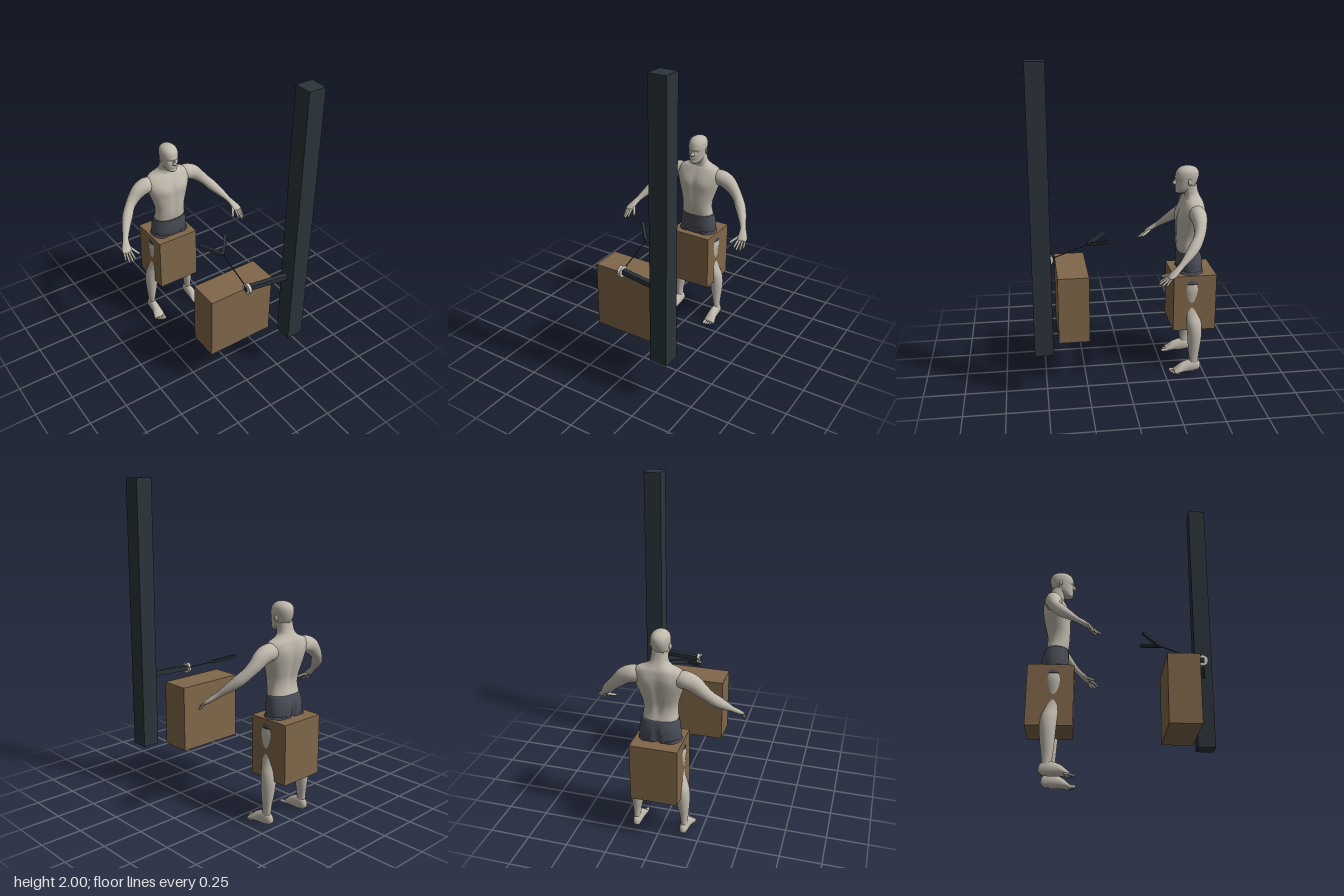
import * as THREE from 'three';

const V = (x, y, z) => new THREE.Vector3(x, y, z);
const mat = (name, color) => new THREE.MeshStandardMaterial({ name, color });
const bump = (d, w) => Math.exp(-(d * d) / (w * w));

// Catmull-Rom through rows of numbers, n steps per span
function smooth(rows, n) {
  const out = [], at = i => rows[Math.min(rows.length - 1, Math.max(0, i))];
  for (let i = 0; i < rows.length - 1; i++) {
    for (let k = 0; k < n; k++) {
      const t = k / n;
      out.push(rows[i].map((b, c) => {
        const a = at(i - 1)[c], d = at(i + 1)[c], e = at(i + 2)[c];
        return b + 0.5 * t * (d - a + t * (2 * a - 5 * b + 4 * d - e + t * (3 * (b - d) + e - a)));
      }));
    }
  }
  out.push(rows[rows.length - 1]);
  return out;
}

// Closed smooth skin over a list of rings
function skinOver(rings) {
  const n = rings[0].length, pos = [], idx = [];
  rings.forEach(r => r.forEach(p => pos.push(p.x, p.y, p.z)));
  const ends = [rings[0], rings[rings.length - 1]];
  ends.forEach(r => {
    const c = r.reduce((s, p) => s.add(p), V(0, 0, 0)).divideScalar(n);
    pos.push(c.x, c.y, c.z);
  });
  const c0 = rings.length * n, last = c0 - n;
  for (let j = 0; j < n; j++) {
    const k = (j + 1) % n;
    for (let i = 0; i < rings.length - 1; i++) {
      const a = i * n + j, b = i * n + k;
      idx.push(a, a + n, b, b, a + n, b + n);
    }
    idx.push(c0, j, k, c0 + 1, last + k, last + j);
  }
  const g = new THREE.BufferGeometry();
  g.setAttribute('position', new THREE.Float32BufferAttribute(pos, 3));
  g.setIndex(idx);
  g.computeVertexNormals();
  return g;
}

// Level sections, bottom to top: [y, halfWidth, zFront, zBack, centreX]
function loft(rows, { side = 1, power = 0.88, shape = null, n = 40 } = {}) {
  const e = v => Math.sign(v) * Math.abs(v) ** power;
  return skinOver(smooth(rows, 5).map(([y, w, zf, zb, cx = 0]) =>
    Array.from({ length: n }, (_, j) => {
      const a = (j / n) * Math.PI * 2, s = Math.sin(a);
      const p = V(side * cx + w * e(Math.cos(a)), y, (zf + zb) / 2 + (zf - zb) / 2 * e(s));
      if (shape) p.z += shape(p, s);
      return p;
    })));
}

// Limb along a path: [x, y, z, sidewaysRadius, uprightRadius]
function limb(rows, side = 1, n = 18) {
  const pts = smooth(rows, 4);
  const c = pts.map(r => V(side * r[0], r[1], r[2]));
  return skinOver(pts.map((r, i) => {
    const d = c[Math.min(i + 1, c.length - 1)].clone().sub(c[Math.max(i - 1, 0)]).normalize();
    const nx = d.clone().cross(V(0, 1, 0)).normalize(), up = nx.clone().cross(d);
    return Array.from({ length: n }, (_, j) => {
      const a = (j / n) * Math.PI * 2;
      return c[i].clone().addScaledVector(nx, r[3] * Math.cos(a)).addScaledVector(up, r[4] * Math.sin(a));
    });
  }));
}

// Finger or toe with a rounded tip
const digit = (a, b, r, side) => {
  const at = (t, k) => [...a.map((v, i) => v + (b[i] - v) * t), r * k, r * k];
  return limb([at(0, 1), at(0.5, 0.95), at(0.85, 0.85), at(0.96, 0.55), at(1, 0.1)], side, 10);
};

export function createModel() {
  const model = new THREE.Group();
  const skin = mat('skin', 0xbfb8ac), cloth = mat('shorts grey', 0x4a4d57);
  const steel = mat('dark steel', 0x2b343a), wood = mat('wood brown', 0x80674a);
  const pale = mat('pulley white', 0xd6d1c8);
  const add = (name, geo, m, parent = model) => {
    const o = new THREE.Mesh(geo, m);
    o.name = name;
    parent.add(o);
    return o;
  };
  const box = (name, m, x0, x1, y0, y1, z0, z1) =>
    add(name, new THREE.BoxGeometry(x1 - x0, y1 - y0, z1 - z0), m)
      .position.set((x0 + x1) / 2, (y0 + y1) / 2, (z0 + z1) / 2);
  const bar = (name, a, b, t) => {
    const o = add(name, new THREE.BoxGeometry(t, t, a.distanceTo(b)), steel);
    o.position.copy(a).lerp(b, 0.5);
    o.lookAt(b);
  };

  // Cable machine and the two blocks
  box('column', steel, 0.262, 0.372, 0.29, 2, 0.46, 0.57);
  box('frontBlock', wood, -0.222, 0.222, 0.29, 0.71, 0.23, 0.42);
  box('seatBlock', wood, -0.144, 0.144, 0.29, 0.655, -0.573, -0.303);
  bar('pulleyArm', V(-0.015, 0.755, 0.462), V(0.29, 0.755, 0.511), 0.03);
  const wheel = [[0, -0.011], [0.034, -0.011], [0.034, -0.007], [0.029, 0], [0.034, 0.007], [0.034, 0.011], [0, 0.011]];
  const pulley = add('pulley', new THREE.LatheGeometry(wheel.map(p => new THREE.Vector2(...p)), 32), pale);
  pulley.rotation.z = Math.PI / 2;
  pulley.position.set(0, 0.754, 0.467);
  bar('cable', V(0, 0.762, 0.44), V(0, 0.845, 0.212), 0.005);
  for (const s of [1, -1]) bar('ropeHandle', V(0, 0.845, 0.215), V(s * 0.098, 0.887, 0.101), 0.019);

  // Body
  const body = new THREE.Group();
  body.name = 'figure';
  model.add(body);
  const chest = (p, s) => {
    const x = Math.abs(p.x);
    return s > 0
      ? s * (0.009 * bump(x - 0.065, 0.05) * bump(p.y - 1.02, 0.04)
        - 0.007 * bump(x, 0.012) * bump(p.y - 0.95, 0.14))
      : -s * (0.013 * bump(x, 0.02) * bump(p.y - 0.94, 0.13)
        - 0.006 * bump(x - 0.075, 0.03) * bump(p.y - 1.05, 0.05));
  };
  add('torso', loft([
    [0.75, 0.108, -0.35, -0.488], [0.785, 0.107, -0.345, -0.482], [0.83, 0.102, -0.338, -0.473],
    [0.88, 0.105, -0.335, -0.474], [0.94, 0.122, -0.335, -0.488], [1.0, 0.142, -0.338, -0.5],
    [1.05, 0.155, -0.35, -0.503], [1.085, 0.15, -0.365, -0.5], [1.11, 0.125, -0.378, -0.495],
    [1.125, 0.086, -0.386, -0.488], [1.145, 0.058, -0.384, -0.478], [1.17, 0.05, -0.375, -0.468],
    [1.21, 0.047, -0.365, -0.46]], { shape: chest, n: 64 }), skin, body);
  const glutes = (p, s) => s < 0 ? -s * 0.022 * bump(p.x, 0.014) * bump(p.y - 0.67, 0.07) : 0;
  add('shorts', loft([
    [0.6, 0.09, -0.36, -0.48], [0.65, 0.121, -0.35, -0.5], [0.7, 0.124, -0.342, -0.503],
    [0.74, 0.12, -0.341, -0.5], [0.787, 0.111, -0.341, -0.486]], { shape: glutes, n: 64 }), cloth, body);

  // Head with brow, eye sockets and mouth shaped into the front
  const face = (p, s) => {
    if (s < 0.2) return 0;
    const x = Math.abs(p.x);
    return 0.005 * bump(p.y - 1.252, 0.008) * bump(x - 0.015, 0.025)
      - 0.009 * bump(p.y - 1.236, 0.01) * bump(x - 0.021, 0.012)
      + 0.005 * bump(p.y - 1.193, 0.009) * bump(x, 0.018)
      + 0.005 * bump(p.y - 1.168, 0.009) * bump(x, 0.018);
  };
  add('head', loft([
    [1.156, 0.018, -0.338, -0.375], [1.165, 0.033, -0.331, -0.4], [1.185, 0.044, -0.33, -0.43],
    [1.21, 0.05, -0.328, -0.452], [1.24, 0.054, -0.327, -0.466], [1.27, 0.056, -0.326, -0.472],
    [1.295, 0.052, -0.334, -0.468], [1.314, 0.038, -0.352, -0.452], [1.324, 0.018, -0.375, -0.428],
    [1.327, 0.003, -0.395, -0.41]], { shape: face, n: 64, power: 0.95 }), skin, body);
  add('nose', loft([
    [1.207, 0.004, -0.322, -0.34], [1.212, 0.012, -0.312, -0.345], [1.219, 0.012, -0.306, -0.345],
    [1.232, 0.007, -0.315, -0.345], [1.25, 0.006, -0.324, -0.345]], { n: 16, power: 1 }), skin, body);

  for (const s of [1, -1]) {
    const ear = add('ear', new THREE.SphereGeometry(1, 16, 12), skin, body);
    ear.scale.set(0.007, 0.02, 0.012);
    ear.position.set(s * 0.058, 1.234, -0.405);
    ear.rotation.y = s * 0.4;

    // Arm, from inside the chest to the knuckles
    add('arm', limb([
      [0.09, 1.05, -0.437, 0.04, 0.045], [0.15, 1.055, -0.438, 0.052, 0.052], [0.205, 1.035, -0.437, 0.046, 0.05],
      [0.25, 0.995, -0.432, 0.037, 0.041], [0.29, 0.955, -0.415, 0.032, 0.034], [0.325, 0.915, -0.385, 0.034, 0.034],
      [0.36, 0.875, -0.345, 0.028, 0.027], [0.395, 0.83, -0.295, 0.019, 0.017], [0.41, 0.808, -0.268, 0.022, 0.016],
      [0.424, 0.782, -0.236, 0.031, 0.014], [0.428, 0.766, -0.214, 0.028, 0.01]], s, 28), skin, body);
    const tips = [[0.453, 0.728, -0.196], [0.441, 0.722, -0.17], [0.422, 0.727, -0.155], [0.401, 0.735, -0.164]];
    tips.forEach((t, i) => add('finger',
      digit([0.449 - i * 0.014, 0.77 + i * 0.001, -0.224 + i * 0.003], t, 0.0075, s), skin, body));
    add('thumb', digit([0.405, 0.79, -0.248], [0.361, 0.752, -0.18], 0.009, s), skin, body);

    // Leg, with the shorts covering the top of the thigh
    add('leg', loft([
      [0.03, 0.023, -0.405, -0.465, 0.15], [0.08, 0.021, -0.41, -0.468, 0.151], [0.13, 0.025, -0.405, -0.472, 0.15],
      [0.2, 0.036, -0.4, -0.482, 0.146], [0.27, 0.042, -0.395, -0.488, 0.143], [0.33, 0.04, -0.39, -0.485, 0.138],
      [0.38, 0.038, -0.38, -0.475, 0.122], [0.42, 0.042, -0.372, -0.47, 0.106], [0.46, 0.05, -0.365, -0.475, 0.093],
      [0.5, 0.058, -0.355, -0.48, 0.09], [0.56, 0.067, -0.35, -0.488, 0.087], [0.61, 0.068, -0.35, -0.49, 0.08]],
    { side: s, power: 1 }), skin, body);
    add('shortsLeg', loft([
      [0.6, 0.071, -0.346, -0.494, 0.08], [0.63, 0.069, -0.345, -0.497, 0.074], [0.67, 0.06, -0.348, -0.5, 0.062]],
    { side: s, power: 1 }), cloth, body);
    add('foot', limb([
      [0.149, 0.022, -0.476, 0.008, 0.012], [0.149, 0.028, -0.468, 0.02, 0.027], [0.15, 0.044, -0.44, 0.026, 0.043],
      [0.152, 0.037, -0.38, 0.03, 0.036], [0.157, 0.021, -0.335, 0.037, 0.02], [0.158, 0.013, -0.312, 0.034, 0.011]],
    s, 24), skin, body);
    for (let i = 0; i < 5; i++) {
      const x = 0.133 + i * 0.0135, r = i ? 0.0075 : 0.011;
      add('toe', digit([x, r + 0.003, -0.33 - i * 0.003], [x + 0.001, r, -0.28 - i * i * 0.002], r, s), skin, body);
    }
  }
  return model;
}
